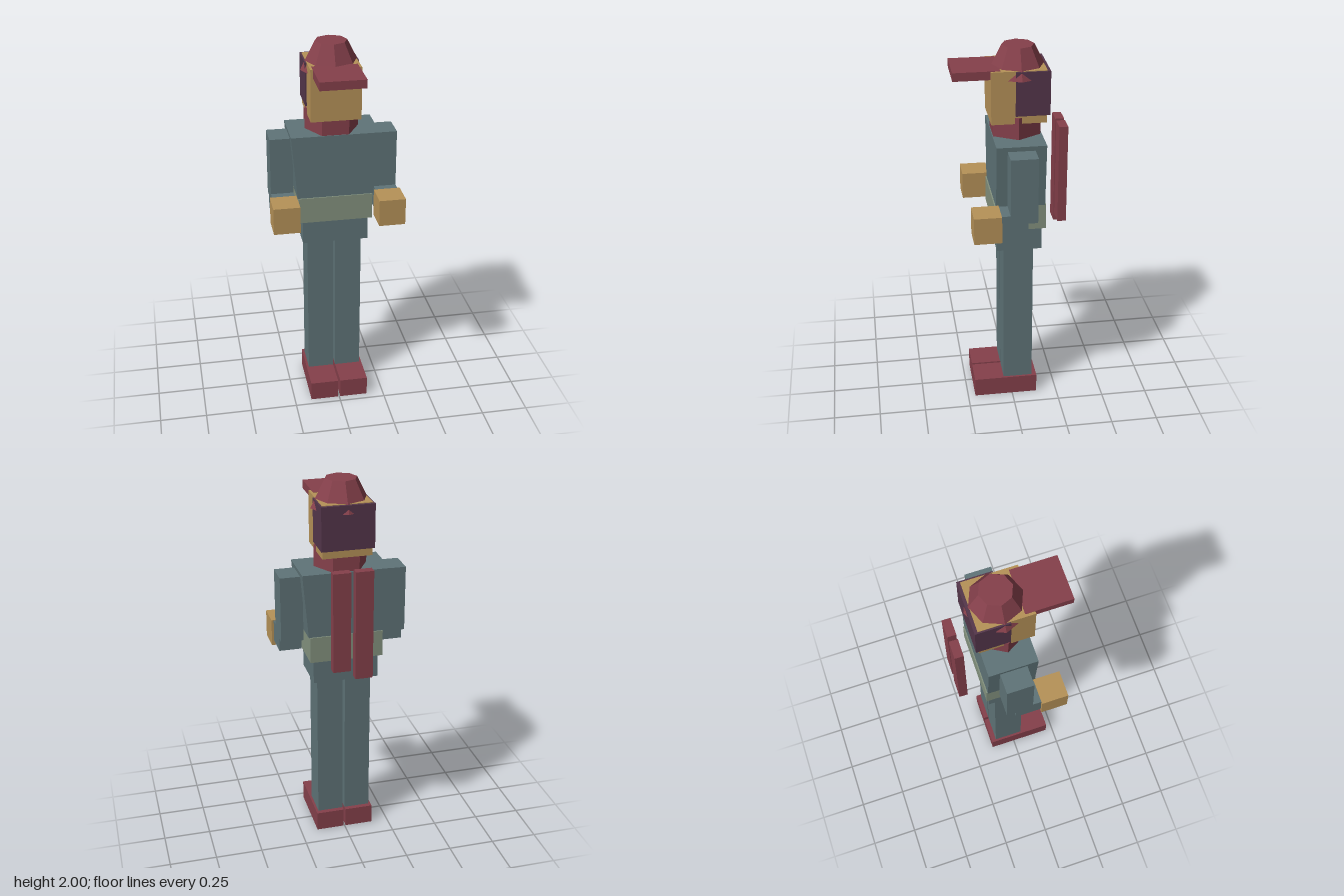
import * as THREE from 'three';

const mat = (name, color) => {
  const m = new THREE.MeshStandardMaterial({ color });
  m.name = name;
  return m;
};

export function createModel() {
  const model = new THREE.Group();
  model.name = 'blockFigure';

  const uniform = mat('slateUniform', 0x5f7478);
  const red = mat('darkRed', 0x85404b);
  const skin = mat('tanSkin', 0xb69258);
  const hairColor = mat('plumHair', 0x54364b);
  const beltColor = mat('sageBelt', 0x84927f);

  const add = (name, geometry, material) => {
    const mesh = new THREE.Mesh(geometry, material);
    mesh.name = name;
    model.add(mesh);
    return mesh;
  };
  // Box given by its extents on each axis
  const box = (name, material, [x0, x1], [y0, y1], [z0, z1]) => {
    const g = new THREE.BoxGeometry(x1 - x0, y1 - y0, z1 - z0);
    g.translate((x0 + x1) / 2, (y0 + y1) / 2, (z0 + z1) / 2);
    return add(name, g, material);
  };
  const span = (s, a, b) => (s > 0 ? [a, b] : [-b, -a]);

  // Bent arm outline: upper arm with a short forearm reaching forward (z, y)
  const armShape = new THREE.Shape([
    [-0.105, 1.165], [-0.055, 1.165], [-0.055, 1.095], [0.083, 1.095],
    [0.083, 1.212], [0.035, 1.212], [0.035, 1.517], [-0.105, 1.517],
  ].map(([z, y]) => new THREE.Vector2(-z, y)));

  for (const s of [1, -1]) {
    const side = s > 0 ? 'left' : 'right';
    box(side + 'Boot', red, span(s, 0.006, 0.158), [0, 0.107], [-0.138, 0.21]);
    box(side + 'Leg', uniform, span(s, 0.006, 0.146), [0.107, 0.935], [-0.112, 0.047]);

    const arm = new THREE.ExtrudeGeometry(armShape, { depth: 0.118, bevelEnabled: false });
    arm.translate(0, 0, -0.059);
    arm.rotateY(Math.PI / 2);
    arm.translate(s * 0.274, 0, 0);
    add(side + 'Arm', arm, uniform);
    box(side + 'Hand', skin, span(s, 0.206, 0.345), [1.07, 1.214], [0.08, 0.222]);

    // Hanging scarf tails, the right one slightly longer
    box(side + 'ScarfTail', red, span(s, 0.012, 0.105), [s > 0 ? 1.05 : 1.0, 1.585], [-0.294, -0.248]);
  }

  box('hips', uniform, [-0.174, 0.174], [0.932, 1.062], [-0.152, 0.085]);
  box('belt', beltColor, [-0.194, 0.194], [1.06, 1.2], [-0.17, 0.098]);

  // Torso, widening towards the shoulders
  const torso = new THREE.BoxGeometry(0.46, 0.342, 0.255);
  const p = torso.attributes.position;
  for (let i = 0; i < p.count; i++) if (p.getY(i) < 0) p.setX(i, p.getX(i) * 0.87);
  torso.computeVertexNormals();
  torso.translate(0, 1.37, -0.036);
  add('torso', torso, uniform);

  // Faceted prism with flat normals
  const prism = (rTop, rBottom, y0, y1, z, sides, turn = 0) => {
    const g = new THREE.CylinderGeometry(rTop, rBottom, y1 - y0, sides).rotateY(turn).toNonIndexed();
    g.computeVertexNormals();
    return g.translate(0, (y0 + y1) / 2, z);
  };
  add('scarfCollar', prism(0.14, 0.14, 1.54, 1.657, -0.034, 6, Math.PI / 6), red);

  box('head', skin, [-0.13, 0.13], [1.625, 1.9], [-0.178, 0.104]);
  box('hair', hairColor, [-0.138, 0.138], [1.667, 1.897], [-0.194, -0.019]);
  add('capCrown', prism(0.083, 0.158, 1.852, 2, -0.048, 8), red);
  box('capBrim', red, [-0.117, 0.117], [1.858, 1.902], [0.055, 0.293]);

  return model;
}
